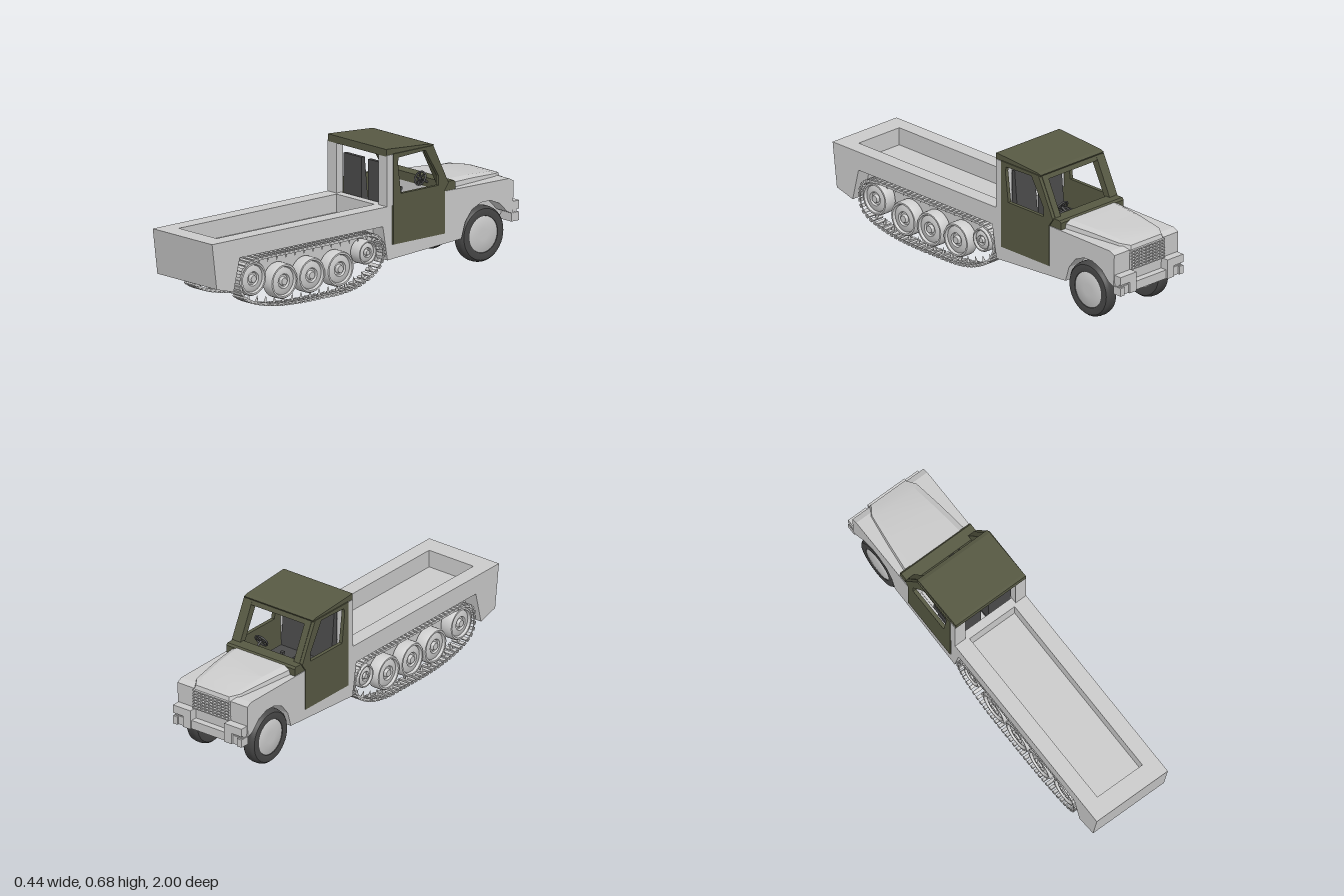
import * as THREE from 'three';
import { toCreasedNormals } from 'three/addons/utils/BufferGeometryUtils.js';

const material = (name, color, side = THREE.FrontSide) => {
  const m = new THREE.MeshStandardMaterial({ color, side });
  m.name = name;
  return m;
};

export function createModel() {
  const model = new THREE.Group();
  model.name = 'halfTrackTruck';
  const grey = material('body grey', 0xcbcbcb);
  const olive = material('olive', 0x575943);
  const dark = material('seat grey', 0x4a4a4a);
  const rubber = material('tyre rubber', 0x474747);

  const add = (name, geo, mat, parent = model) => {
    const m = new THREE.Mesh(geo, mat);
    m.name = name;
    parent.add(m);
    return m;
  };
  const box = (name, mat, x0, x1, y0, y1, z0, z1, parent) => {
    const m = add(name, new THREE.BoxGeometry(x1 - x0, y1 - y0, z1 - z0), mat, parent);
    m.position.set((x0 + x1) / 2, (y0 + y1) / 2, (z0 + z1) / 2);
    return m;
  };
  // Side profile of [z, y] points, extruded across from x0 to x1
  const slab = (name, mat, pts, x0, x1, hole, parent) => {
    const shape = new THREE.Shape(pts.map(p => new THREE.Vector2(...p)));
    if (hole) shape.holes.push(new THREE.Path(hole.map(p => new THREE.Vector2(...p))));
    const g = new THREE.ExtrudeGeometry(shape, { depth: x1 - x0, bevelEnabled: false });
    g.rotateY(-Math.PI / 2).translate(x1, 0, 0);
    return add(name, g, mat, parent);
  };
  // Same profile on both sides
  const pair = (name, mat, pts, x0, x1, hole) => {
    slab(name + 'Left', mat, pts, x0, x1, hole);
    slab(name + 'Right', mat, pts, -x1, -x0, hole);
  };
  // Wheel turned from [radius, offset] points, outer face away from the middle
  const wheel = (name, mat, pts, s, x, y, z, seg = 32) => {
    const g = toCreasedNormals(new THREE.LatheGeometry(pts.map(p => new THREE.Vector2(...p)), seg), 0.6);
    const m = add(name, g, mat);
    m.rotation.z = -s * Math.PI / 2;
    m.position.set(s * x, y, z);
  };

  // Central hull with bed cavity and cab well
  slab('hull', grey, [
    [1, .39], [.97, .16], [.86, .13], [.75, .113], [-.6, .118], [-.93, .19], [-.955, .22], [-.96, .385],
    [-.93, .4], [-.51, .405], [-.51, .2], [-.17, .2], [-.17, .39], [-.125, .39], [-.125, .3], [.9, .3], [.9, .39],
  ], -.137, .137);
  // Sides with track recess and front wheel arch
  pair('bodySide', grey, [
    [1, .39], [.97, .16], [.86, .13], [.82, .295], [-.11, .295], [-.14, .122], [-.62, .15], [-.645, .23],
    [-.69, .285], [-.75, .31], [-.81, .31], [-.87, .285], [-.92, .235], [-.955, .22], [-.96, .385], [-.93, .4],
    [-.51, .405], [-.51, .195], [-.17, .195], [-.17, .39],
  ], .137, .216);

  // Bonnet lofted from three outlines
  const half = [[.187, -.575], [.166, -.75], [.142, -.915], [.108, -.965]];
  const outline = [...half, ...half.map(([x, z]) => [-x, z]).reverse()];
  const verts = [], idx = [];
  [[1, 1, 0], [.96, .985, .75], [.8, .93, 1]].forEach(([sx, sz, lift]) => outline.forEach(([x, z]) => {
    const t = (z + .575) / -.39;
    const top = .443 - .012 * t - .018 * t ** 4;
    verts.push(x * sx, .385 + (top - .385) * lift, -.575 + (z + .575) * sz);
  }));
  for (let r = 0; r < 2; r++) for (let i = 0; i < 8; i++) {
    const a = r * 8 + i, b = r * 8 + (i + 1) % 8;
    idx.push(a, b, b + 8, a, b + 8, a + 8);
  }
  for (let i = 0; i < 3; i++) idx.push(16 + i, 17 + i, 22 - i, 16 + i, 22 - i, 23 - i);
  const hood = new THREE.BufferGeometry();
  hood.setAttribute('position', new THREE.Float32BufferAttribute(verts, 3));
  hood.setIndex(idx);
  add('bonnet', toCreasedNormals(hood, 0.3), grey);

  // Grille bars
  const grille = new THREE.Group();
  grille.name = 'grille';
  model.add(grille);
  for (let i = 0; i < 10; i++) {
    const x = -.108 + i * .024;
    box('grilleBar', grey, x - .003, x + .003, .285, .383, -.972, -.955, grille);
  }
  for (let i = 0; i < 7; i++) {
    const y = .287 + i * .0157;
    box('grilleSlat', grey, -.112, .112, y - .003, y + .003, -.976, -.955, grille);
  }
  // Bumper with raised, notched ends
  box('bumper', grey, -.21, .21, .18, .225, -.99, -.95);
  for (const s of [-1, 1]) {
    const span = (a, b) => s > 0 ? [a, b] : [-b, -a];
    box('bumperEnd', grey, ...span(.105, .212), .238, .28, -1, -.95);
    box('bumperFoot', grey, ...span(.105, .15), .18, .238, -1, -.95);
    box('bumperTip', grey, ...span(.185, .212), .18, .222, -1, -.95);
    box('bumperCore', grey, ...span(.105, .208), .22, .24, -.985, -.95);
    box('rearPillar', grey, ...span(.153, .216), .39, .645, -.18, -.137);
  }

  // Cab: doors, windscreen frame, cowl and roof
  pair('door', olive, [
    [-.175, .195], [-.175, .648], [-.435, .648], [-.535, .445], [-.51, .41], [-.51, .195],
  ], .2, .219, [[-.225, .443], [-.205, .6], [-.21, .625], [-.385, .632], [-.47, .49], [-.47, .443]]);
  pair('windscreenPillar', olive, [[-.395, .645], [-.44, .645], [-.54, .44], [-.5, .44]], .165, .201);
  slab('windscreenRail', olive, [[-.4, .645], [-.44, .645], [-.45, .62], [-.415, .62]], -.2, .2);
  slab('cowl', olive, [[-.51, .39], [-.585, .39], [-.585, .44], [-.575, .45], [-.51, .45]], -.212, .212);
  slab('roof', olive, [[-.135, .64], [-.135, .676], [-.15, .676], [-.425, .657], [-.445, .65], [-.44, .64]], -.213, .213);

  // Seats
  for (const x of [-.088, .09]) {
    slab('seatBack', dark, [[-.185, .27], [-.185, .585], [-.205, .585], [-.235, .27]], x - .066, x + .066);
    box('seatCushion', dark, x - .066, x + .066, .27, .32, -.39, -.22);
    box('seatBase', dark, x - .055, x + .055, .2, .27, -.37, -.2);
  }
  // Steering wheel, column and levers
  const steering = new THREE.Group();
  steering.name = 'steeringWheel';
  steering.position.set(.09, .455, -.465);
  steering.rotation.x = -.5;
  model.add(steering);
  add('steeringRim', new THREE.TorusGeometry(.034, .005, 8, 24), dark, steering);
  for (let i = 0; i < 3; i++) {
    box('steeringSpoke', dark, -.034, .034, -.003, .003, -.003, .003, steering).rotation.z = i * Math.PI / 3;
  }
  const column = add('steeringColumn', new THREE.CylinderGeometry(.006, .006, .1, 10), dark, steering);
  column.rotation.x = Math.PI / 2;
  column.position.z = -.05;
  box('gauge', dark, .03, .06, .41, .435, -.515, -.5);
  box('gearLever', dark, -.005, .005, .2, .39, -.42, -.41);
  box('gearKnob', dark, -.009, .009, .39, .405, -.424, -.406);

  // Open running gear
  const dish = (r, w) => [
    [0, -w], [r * .75, -w], [r * .85, -w * .8], [r, -w * .8], [r, w * .75], [r * .94, w], [r * .84, w],
    [r * .78, w * .6], [r * .6, w * .8], [r * .42, w * .85], [r * .36, w * .55], [r * .26, w * .55],
    [r * .2, w], [0, w],
  ];
  const tyre = [
    [.085, -.034], [.11, -.037], [.128, -.034], [.137, -.024], [.14, -.01], [.14, .01],
    [.137, .024], [.128, .034], [.11, .037], [.092, .034], [.088, .02],
  ];
  const hub = [[0, -.032], [.087, -.032], [.092, -.03], [.092, .03], [.087, .033], [.03, .035], [0, .035]];

  // Track path, sampled evenly
  const path = new THREE.CatmullRomCurve3([
    [.72, .262], [.785, .24], [.812, .18], [.795, .1], [.74, .062], [.6, .026], [.45, .012], [.3, .01], [.13, .013],
    [.02, .036], [-.08, .09], [-.115, .15], [-.11, .205], [-.075, .25], [-.02, .266], [.2, .266], [.5, .266],
  ].map(([z, y]) => new THREE.Vector3(0, y, z)), true, 'centripetal');
  const count = 72;
  const links = [];
  for (let i = 0; i < count; i++) {
    const p = path.getPointAt(i / count), t = path.getTangentAt(i / count);
    links.push({ y: p.y, z: p.z, ny: t.z, nz: -t.y, angle: Math.atan2(-t.y, t.z) });
  }
  // Path runs clockwise; find which normal points out of the loop
  const out = links[0].ny * (links[0].y - .14) + links[0].nz * (links[0].z - .35) > 0 ? 1 : -1;
  const offset = d => links.map(l => [l.z + l.nz * out * d, l.y + l.ny * out * d]);
  const cleat = new THREE.BoxGeometry(.079, .009, .017);
  const tooth = new THREE.ConeGeometry(.011, .034, 4);

  for (const s of [-1, 1]) {
    const side = s > 0 ? 'Left' : 'Right';
    // Belt
    slab('trackBelt' + side, grey, offset(.004), s * .177 - .037, s * .177 + .037, offset(-.006));
    // Cleats outside, guide teeth inside
    const track = new THREE.Group();
    track.name = 'trackLinks' + side;
    model.add(track);
    links.forEach((l, i) => {
      const c = add('cleat', cleat, grey, track);
      c.position.set(s * .177, l.y + l.ny * out * .005, l.z + l.nz * out * .005);
      c.rotation.x = l.angle;
      if (i % 2) return;
      const k = add('guideTooth', tooth, grey, track);
      k.position.set(s * .177, l.y - l.ny * out * .02, l.z - l.nz * out * .02);
      k.quaternion.setFromUnitVectors(new THREE.Vector3(0, 1, 0), new THREE.Vector3(0, -l.ny * out, -l.nz * out));
    });
    // Idler, road wheels and sprocket
    for (const [z, y, r] of [[.72, .17, .085], [.52, .125, .088], [.34, .125, .088], [.155, .125, .088]]) {
      wheel('roadWheel' + side, grey, dish(r, .033), s, .173, y, z);
      wheel('axle' + side, grey, [[0, -.06], [.02, -.06], [.02, 0], [0, 0]], s, .173, y, z, 12);
    }
    wheel('sprocket' + side, grey, dish(.06, .034), s, .173, .178, -.022);
    wheel('sprocketAxle' + side, grey, [[0, -.06], [.02, -.06], [.02, 0], [0, 0]], s, .173, .178, -.022, 12);
    // Front wheel
    wheel('tyre' + side, rubber, tyre, s, .176, .146, -.77, 40);
    wheel('hub' + side, grey, hub, s, .176, .146, -.77, 32);
    wheel('frontAxle' + side, grey, [[0, -.06], [.02, -.06], [.02, 0], [0, 0]], s, .176, .146, -.77, 12);
  }
  return model;
}
